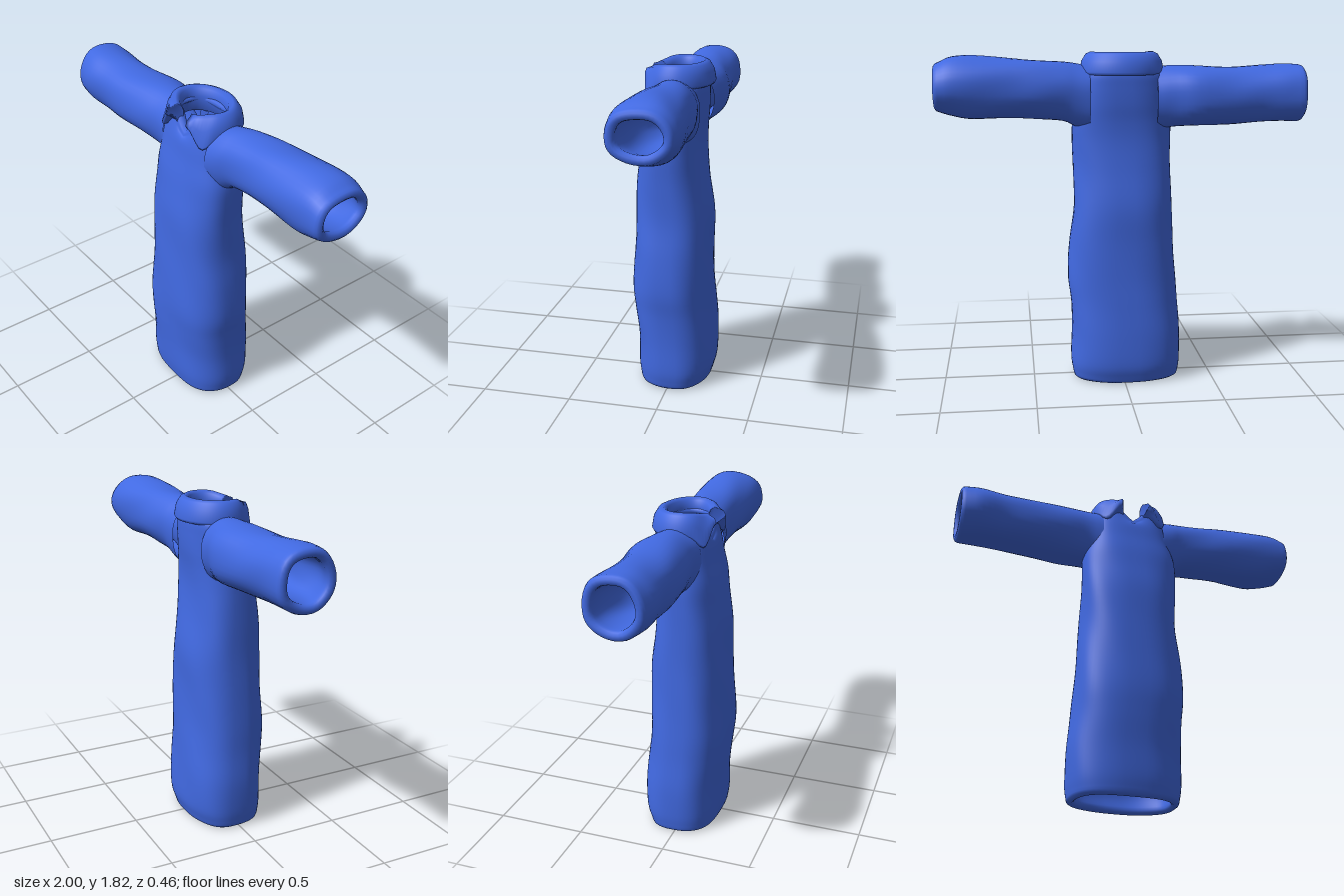
import * as THREE from 'three';

const fabric = new THREE.MeshStandardMaterial({ color: 0x4169e1, side: THREE.DoubleSide });
fabric.name = 'royal blue fabric';

const softPow = (v, p) => Math.sign(v) * Math.abs(v) ** p;
const bump = (v, width) => Math.exp(-((v / width) ** 2));

// Joins rows of points into a smooth surface; skip(centre) leaves openings.
function skin(rows, { wrapRows = false, wrapCols = true, flip = false, caps = false, skip = () => false } = {}) {
  const n = rows[0].length;
  const points = rows.flat();
  const index = [];
  const rowCount = wrapRows ? rows.length : rows.length - 1;
  const colCount = wrapCols ? n : n - 1;
  for (let r = 0; r < rowCount; r++) {
    for (let c = 0; c < colCount; c++) {
      const r2 = (r + 1) % rows.length, c2 = (c + 1) % n;
      const a = r * n + c, b = r * n + c2, d = r2 * n + c, e = r2 * n + c2;
      if (skip(points[a].clone().add(points[e]).multiplyScalar(0.5))) continue;
      if (flip) index.push(a, d, b, b, d, e);
      else index.push(a, b, d, b, e, d);
    }
  }
  if (caps) {
    for (let c = 1; c < n - 1; c++) {
      const last = (rows.length - 1) * n;
      index.push(0, c + 1, c, last, last + c, last + c + 1);
    }
  }
  const geometry = new THREE.BufferGeometry().setFromPoints(points);
  geometry.setIndex(index);
  geometry.computeVertexNormals();
  return geometry;
}

// Rows of a thick tube from sections [along, u0, u1, v0, v1]: outside, rounded rim, inside.
function shellRows(sections, { wall, steps, sides, power, place, bothRims = false, ripple = 0 }) {
  const low = new THREE.CatmullRomCurve3(sections.map(s => new THREE.Vector3(s[0], s[1], s[3])), false, 'catmullrom');
  const high = new THREE.CatmullRomCurve3(sections.map(s => new THREE.Vector3(s[0], s[2], s[4])), false, 'catmullrom');
  const dir = Math.sign(sections.at(-1)[0] - sections[0][0]);
  const plan = [];
  for (let i = 0; i <= steps; i++) plan.push([i / steps, 0, 0]);
  const rim = (t, sign, from, to) => {
    for (let k = 1; k < 5; k++) {
      const h = Math.PI * k / 5;
      plan.push([t, from + (to - from) * (1 - Math.cos(h)) / 2, sign * Math.sin(h) * wall / 2]);
    }
  };
  rim(1, dir, 0, wall);
  for (let i = steps; i >= 0; i--) plan.push([i / steps, wall, 0]);
  if (bothRims) rim(0, -dir, wall, 0);
  return plan.map(([t, inset, shift]) => {
    const lo = low.getPoint(t), hi = high.getPoint(t);
    const row = [];
    for (let i = 0; i < sides; i++) {
      const a = i / sides * Math.PI * 2;
      const fold = ripple * Math.sin(3 * a + 5 * lo.x) * Math.sin(7 * lo.x + 2 * a);
      const u = (lo.y + hi.y) / 2 + ((hi.y - lo.y) / 2 - inset + fold) * softPow(Math.sin(a), power);
      const v = (lo.z + hi.z) / 2 + ((hi.z - lo.z) / 2 - inset + fold) * softPow(Math.cos(a), power);
      row.push(place(lo.x + shift, u, v, a, t));
    }
    return row;
  });
}

export function createModel() {
  const group = new THREE.Group();
  const add = (name, geometry) => {
    const mesh = new THREE.Mesh(geometry, fabric);
    mesh.name = name;
    group.add(mesh);
  };

  // Long hollow body: [y, x0, x1, z back, z front]
  const bodySections = [
    [0.035, -0.32, 0.275, -0.21, 0.19],
    [0.12, -0.33, 0.285, -0.23, 0.2],
    [0.28, -0.33, 0.28, -0.228, 0.205],
    [0.45, -0.315, 0.285, -0.215, 0.22],
    [0.6, -0.307, 0.297, -0.205, 0.228],
    [0.8, -0.293, 0.285, -0.2, 0.22],
    [1.0, -0.28, 0.262, -0.198, 0.213],
    [1.2, -0.275, 0.262, -0.17, 0.205],
    [1.35, -0.272, 0.27, -0.155, 0.185],
    [1.46, -0.268, 0.27, -0.155, 0.17],
    [1.56, -0.25, 0.25, -0.165, 0.15],
    [1.65, -0.235, 0.235, -0.17, 0.135],
    [1.72, -0.215, 0.215, -0.17, 0.12],
    [1.76, -0.175, 0.175, -0.15, 0.11],
  ];
  const body = shellRows(bodySections, {
    wall: 0.045, steps: 65, sides: 56, power: 0.78, bothRims: true, ripple: 0.005,
    // the neckline dips to a V at the front
    place: (y, x, z, a, t) => {
      const fromFront = Math.min(a, Math.PI * 2 - a);
      const dip = 0.09 * Math.max(0, 1 - fromFront / 0.45) * THREE.MathUtils.smoothstep(t, 0.8, 1);
      return new THREE.Vector3(x, y - dip, z);
    },
  });
  const armhole = p => Math.abs(p.x) > 0.1 && ((p.y - 1.61) / 0.115) ** 2 + ((p.z + 0.04) / 0.095) ** 2 < 1;
  add('body', skin(body, { wrapRows: true, skip: armhole }));

  // Long open sleeves: [x, z back, z front, y bottom, y top]
  const sleeves = {
    leftSleeve: [
      [0.18, -0.165, 0.115, 1.41, 1.755],
      [0.25, -0.17, 0.105, 1.43, 1.77],
      [0.32, -0.18, 0.092, 1.465, 1.78],
      [0.45, -0.2, 0.09, 1.48, 1.79],
      [0.6, -0.21, 0.1, 1.487, 1.803],
      [0.8, -0.228, 0.11, 1.483, 1.818],
      [0.91, -0.228, 0.112, 1.505, 1.812],
      [0.975, -0.215, 0.108, 1.525, 1.785],
    ],
    rightSleeve: [
      [-0.18, -0.165, 0.115, 1.41, 1.75],
      [-0.27, -0.18, 0.105, 1.425, 1.758],
      [-0.4, -0.208, 0.12, 1.432, 1.758],
      [-0.6, -0.185, 0.135, 1.438, 1.75],
      [-0.75, -0.175, 0.135, 1.447, 1.757],
      [-0.88, -0.18, 0.147, 1.45, 1.765],
      [-0.975, -0.18, 0.13, 1.45, 1.765],
    ],
  };
  for (const [name, sections] of Object.entries(sleeves)) {
    const rows = shellRows(sections, {
      wall: 0.05, steps: 24, sides: 36, power: 0.92, ripple: 0.004,
      place: (x, z, y) => new THREE.Vector3(x, y, z),
    });
    add(name, skin(rows, { flip: name === 'rightSleeve' }));
  }

  // Folded collar, open at the front, with a hanging point on each side of the gap
  const collarRows = [];
  const gap = 0.36;
  for (let i = 0; i <= 64; i++) {
    const a = gap + (Math.PI * 2 - 2 * gap) * i / 64;
    const fromFront = Math.min(a, Math.PI * 2 - a);
    const point = bump(fromFront - 0.78, 0.22);
    const hem = 1.715 - 0.055 * point + 0.045 * bump(fromFront - gap, 0.2);
    const top = 1.835 - 0.02 * bump(fromFront - gap, 0.5);
    const profile = [
      [0, 1.7], [0, 1.78], [0.008, top - 0.015], [0.03, top], [0.055, top - 0.012],
      [0.078, (top + hem) / 2 + 0.01], [0.088 + 0.015 * point, hem + 0.015],
      [0.08 + 0.015 * point, hem], [0.06 + 0.01 * point, hem + 0.01], [0.03, 1.71],
    ];
    collarRows.push(profile.map(([out, y]) =>
      new THREE.Vector3(Math.sin(a) * (0.14 + out), y, -0.02 + Math.cos(a) * (0.1 + out))));
  }
  add('collar', skin(collarRows, { caps: true, flip: true }));

  return group;
}
